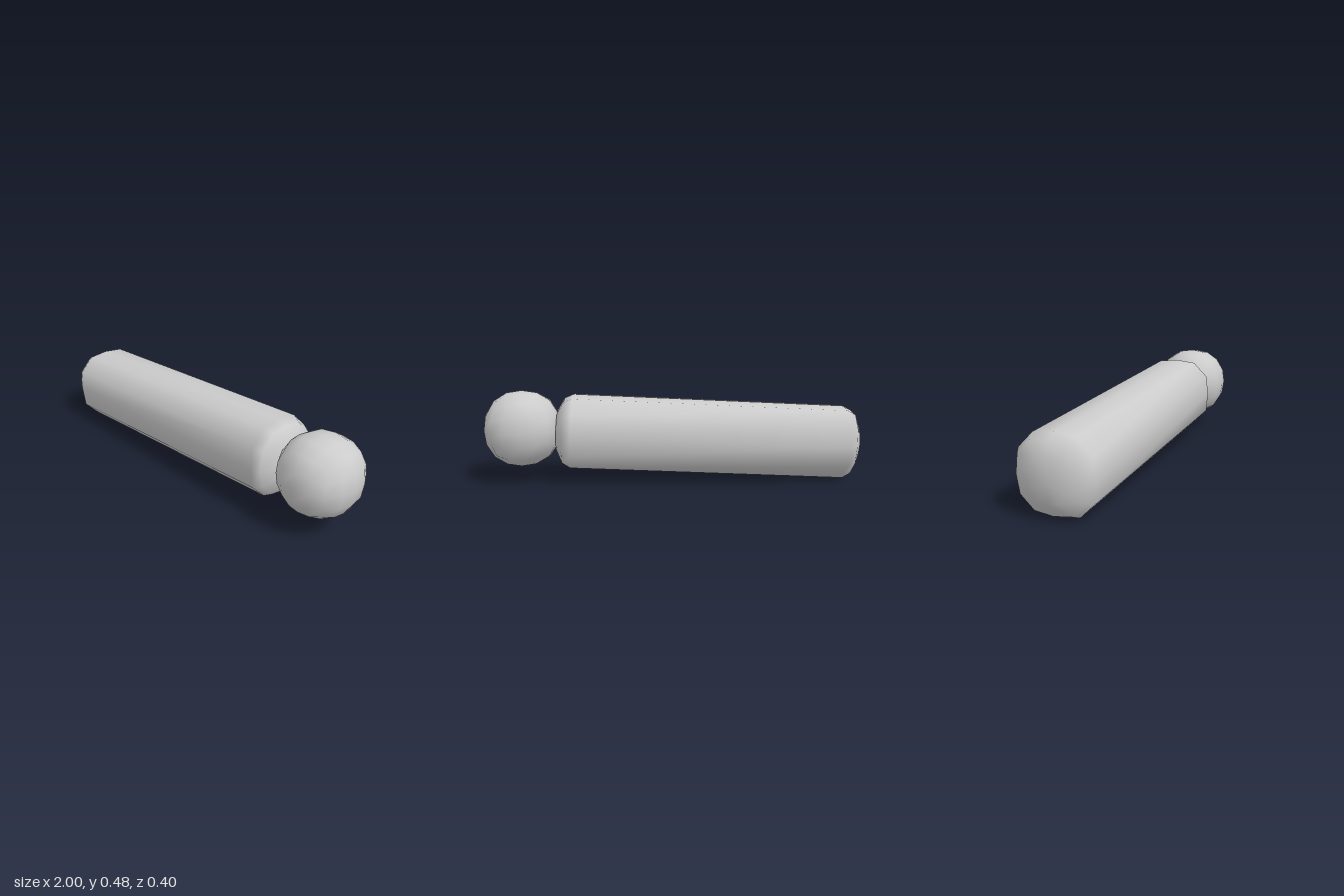
import * as THREE from 'three';
import { mergeVertices } from 'three/addons/utils/BufferGeometryUtils.js';

const material = new THREE.MeshStandardMaterial({ color: 0xcccccc });

// Moves every vertex by a rule, then welds the seams for smooth normals
function shaped(geometry, rule) {
  const pos = geometry.attributes.position;
  const v = new THREE.Vector3();
  for (let i = 0; i < pos.count; i++) {
    rule(v.fromBufferAttribute(pos, i));
    pos.setXYZ(i, v.x, v.y, v.z);
  }
  geometry.deleteAttribute('normal');
  geometry.deleteAttribute('uv');
  const welded = mergeVertices(geometry, 1e-4);
  welded.computeVertexNormals();
  return welded;
}

// Twelve-sided bar with shallow domed ends, slightly squared in section
function bodyGeometry() {
  const r = 0.193, half = 0.725;
  const dome = [[0, 0.09], [0.55, 0.08], [0.89, 0.045], [1, 0]];
  const profile = [
    ...dome.map(([k, d]) => new THREE.Vector2(k * r, -half - d)),
    ...dome.slice().reverse().map(([k, d]) => new THREE.Vector2(k * r, half + d)),
  ];
  const geometry = new THREE.LatheGeometry(profile, 12);
  return shaped(geometry, (v) => {
    const radius = Math.hypot(v.x, v.z);
    if (radius < 1e-6) return;
    // widen the corners between the four axis directions, more toward the rim
    const onAxis = Math.min(Math.abs(v.x), Math.abs(v.z)) < 1e-4;
    const k = onAxis ? 1 : 1 + 0.088 * Math.pow(radius / r, 2);
    v.x *= k;
    v.z *= k;
  }).rotateZ(-Math.PI / 2);
}

// Ball made from a subdivided cube, a touch fuller on the diagonals
function ballGeometry() {
  const r = 0.2, p = 2.2;
  return shaped(new THREE.BoxGeometry(2, 2, 2, 4, 4, 4), (v) => {
    v.set(...v.toArray().map((c) => Math.tan(c * Math.PI / 4))).normalize();
    const norm = v.toArray().reduce((s, c) => s + Math.pow(Math.abs(c), p), 0);
    v.multiplyScalar(r / Math.pow(norm, 1 / p));
  });
}

export function createModel() {
  const group = new THREE.Group();

  const body = new THREE.Mesh(bodyGeometry(), material);
  body.name = 'body';
  body.position.set(-0.185, 0.235, 0);
  body.rotation.z = THREE.MathUtils.degToRad(3);

  const ball = new THREE.Mesh(ballGeometry(), material);
  ball.name = 'endBall';
  ball.position.set(0.8, 0.288, 0);

  group.add(body, ball);
  return group;
}
